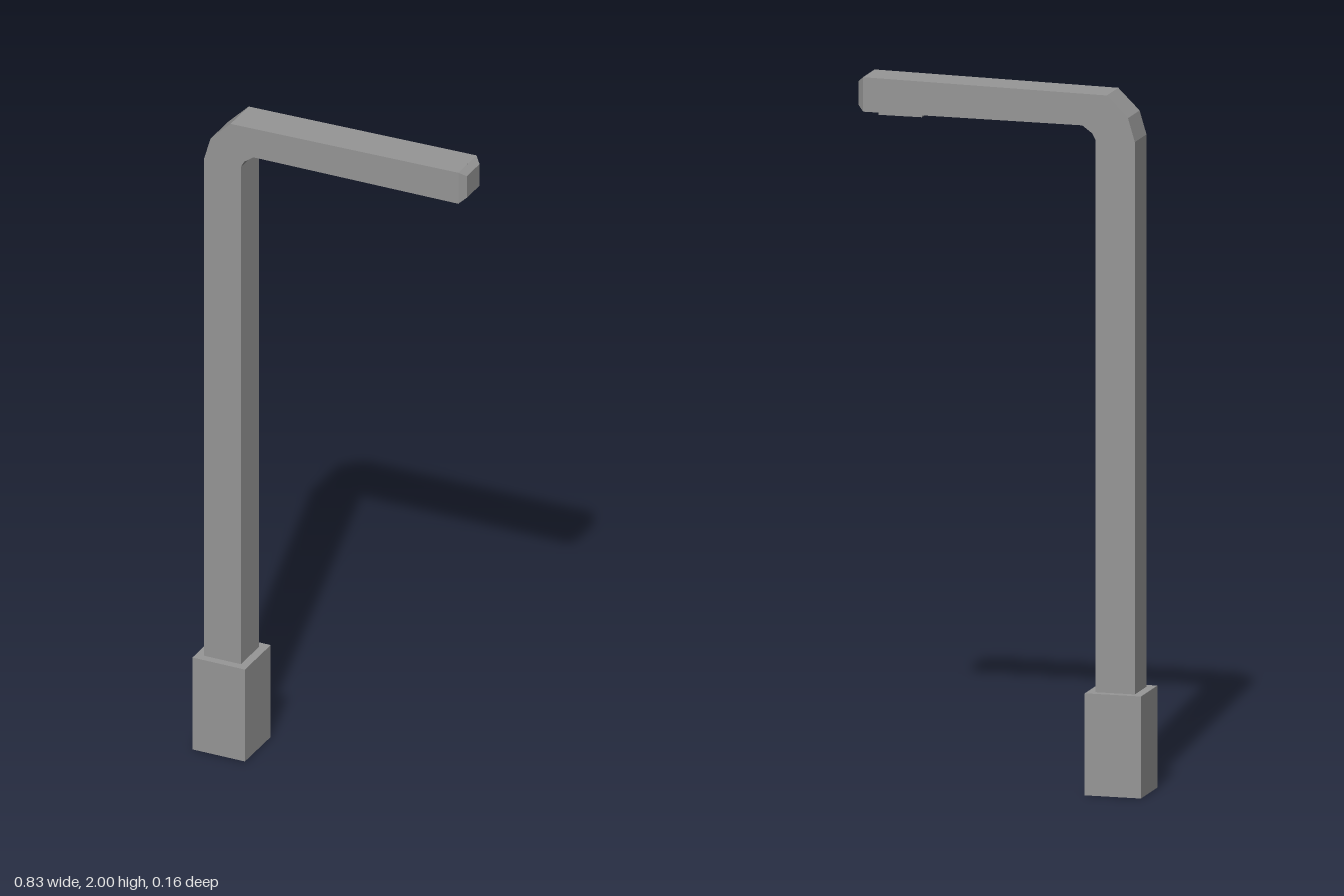
import * as THREE from 'three';

export function createModel() {
  const group = new THREE.Group();
  const material = new THREE.MeshStandardMaterial({ color: 0x969696, flatShading: true });

  const add = (name, geometry, x, y, z = 0) => {
    const mesh = new THREE.Mesh(geometry, material);
    mesh.name = name;
    mesh.position.set(x, y, z);
    group.add(mesh);
  };

  // Square foot
  add('base', new THREE.BoxGeometry(0.163, 0.29, 0.163), -0.335, 0.145);

  // Post bending into the horizontal arm: side profile extruded through z
  const halfDepth = 0.0575;
  const profile = [
    [-0.392, 0.28], [-0.278, 0.28], [-0.278, 1.859], [-0.268, 1.878], [-0.239, 1.899],
    [0.398, 1.902], [0.398, 2.0], [-0.31, 1.988], [-0.372, 1.927], [-0.392, 1.86],
  ].map(([x, y]) => new THREE.Vector2(x, y));
  add('postAndArm', new THREE.ExtrudeGeometry(new THREE.Shape(profile),
    { depth: halfDepth * 2, bevelEnabled: false }), 0, 0, -halfDepth);

  // Tapered tip closing the arm
  const tip = new THREE.CylinderGeometry(0.04 * Math.SQRT2, halfDepth * Math.SQRT2, 0.018, 4);
  tip.rotateY(Math.PI / 4).rotateZ(-Math.PI / 2).scale(1, 0.85, 1);
  add('armTip', tip, 0.407, 1.951);

  // Thin lamp panel under the arm
  add('lampPanel', new THREE.BoxGeometry(0.125, 0.016, 0.08), 0.295, 1.9);

  return group;
}
